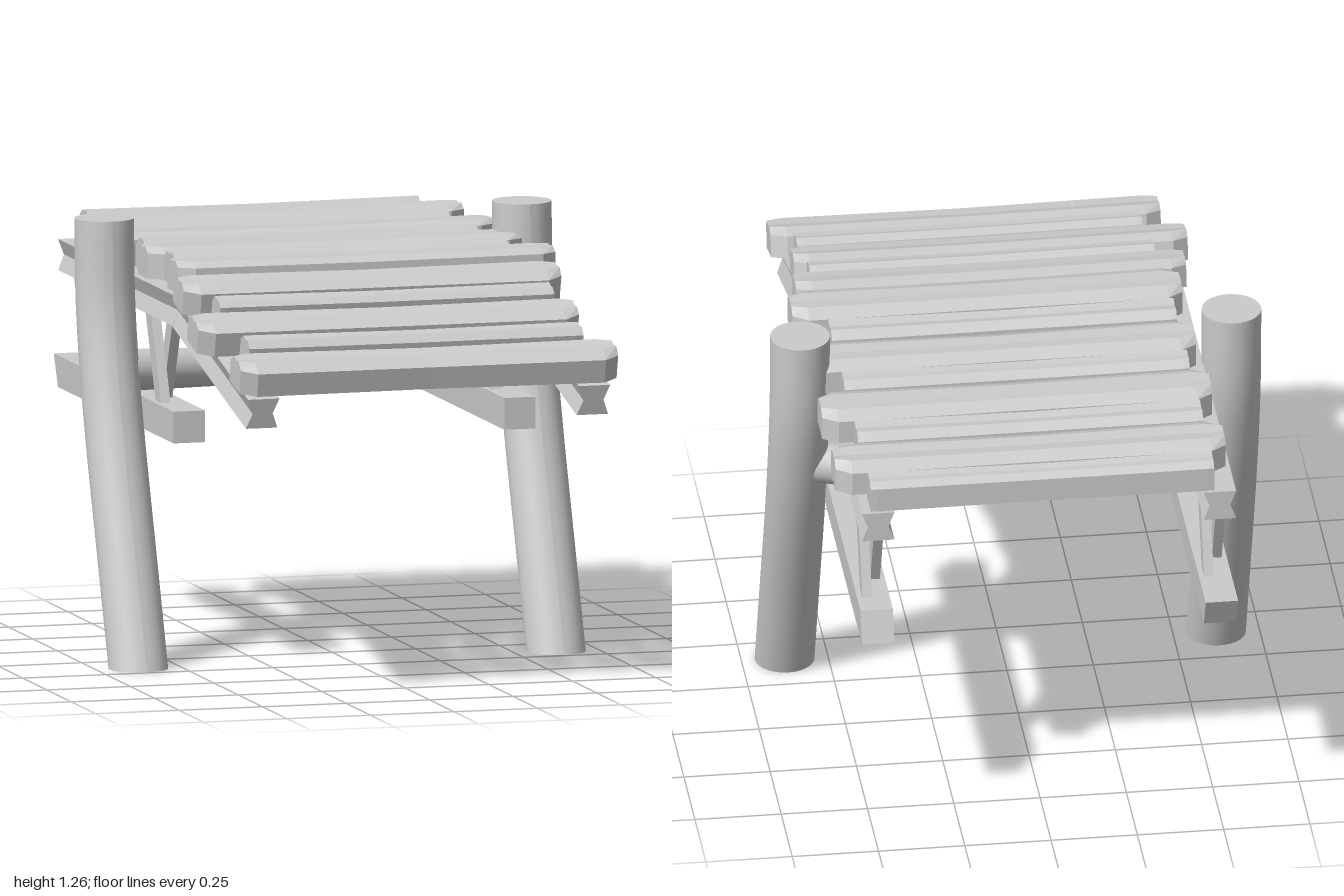
import * as THREE from 'three';

export function createModel() {
  const root = new THREE.Group();
  const smooth = new THREE.MeshStandardMaterial({ color: 0xcccccc, side: THREE.DoubleSide });
  const flat = new THREE.MeshStandardMaterial({ color: 0xcccccc, flatShading: true });
  const add = (parent, name, geometry, material = flat) => {
    const mesh = new THREE.Mesh(geometry, material);
    mesh.name = name;
    parent.add(mesh);
    return mesh;
  };
  // Apply a rule to every vertex
  const reshape = (geometry, rule) => {
    const p = geometry.attributes.position, v = new THREE.Vector3();
    for (let i = 0; i < p.count; i++) {
      rule(v.fromBufferAttribute(p, i));
      p.setXYZ(i, v.x, v.y, v.z);
    }
    geometry.computeVertexNormals();
    return geometry;
  };

  // Deck frame: a level part and a sloping front part
  const slope = 0.25, bendZ = 0.22, deckY = 1.09;
  const ramp = new THREE.Group();
  ramp.name = 'slopingDeck';
  ramp.position.set(0, deckY, bendZ);
  ramp.rotation.x = slope;
  root.add(ramp);

  // Bent posts: the section stays level while its centre follows a curve
  const bend = new THREE.CatmullRomCurve3([
    [0, 0.153], [0.3, 0.04], [0.62, -0.08], [0.82, -0.142], [1.02, -0.185], [1.26, -0.198],
  ].map(([y, z]) => new THREE.Vector3(0, y, z)));
  const centres = bend.getPoints(120);
  const centreZ = (y) => {
    let i = 1;
    while (i < 120 && centres[i].y < y) i++;
    const a = centres[i - 1], b = centres[i];
    return THREE.MathUtils.mapLinear(y, a.y, b.y, a.z, b.z);
  };
  for (const side of [-1, 1]) {
    const post = new THREE.Group();
    post.name = side > 0 ? 'leftPost' : 'rightPost';
    post.position.x = side * 0.625;
    root.add(post);
    const wall = new THREE.CylinderGeometry(0.086, 0.086, 1.26, 32, 20, true).translate(0, 0.63, 0);
    add(post, 'postTrunk', reshape(wall, (v) => { v.z += centreZ(v.y); }), smooth);
    const cap = add(post, 'postTop', new THREE.CircleGeometry(0.086, 32).rotateX(-Math.PI / 2));
    cap.position.set(0, 1.26, centreZ(1.26));

    // Short log pointing inward from the post
    const a = new THREE.Vector3(side * 0.6, 0.822, -0.15);
    const b = new THREE.Vector3(side * 0.155, 0.8, -0.29);
    const log = add(root, 'sideLog', new THREE.CylinderGeometry(0.054, 0.061, a.distanceTo(b), 24), smooth);
    log.position.copy(a).lerp(b, 0.5);
    log.quaternion.setFromUnitVectors(new THREE.Vector3(0, 1, 0), b.clone().sub(a).normalize());
  }

  // Rails with a shallow groove along both sides
  const railShape = new THREE.Shape([
    [-0.047, -0.09], [0.047, -0.09], [0.03, -0.045], [0.047, 0], [-0.047, 0], [-0.03, -0.045],
  ].map(([x, y]) => new THREE.Vector2(x, y)));
  const rail = (length) => new THREE.ExtrudeGeometry(railShape, { depth: length, bevelEnabled: false });
  for (const side of [-1, 1]) {
    const x = side * 0.495;
    add(root, 'levelRail', rail(bendZ + 0.955)).position.set(x, deckY, -0.955);
    add(ramp, 'slopingRail', rail(0.8)).position.x = x;

    // Lower beam with a slanted rear end
    const beam = new THREE.BoxGeometry(0.094, 0.092, 1);
    const topEnd = side > 0 ? -0.92 : -1;
    add(root, 'lowerBeam', reshape(beam, (v) => {
      v.z = v.z > 0 ? 0.23 : v.y > 0 ? topEnd : -0.957;
    })).position.set(x, 0.706, 0);

    // Crossed struts, side by side, between beam and rail
    for (const z of [-0.03, -0.765]) {
      for (const lean of [-1, 1]) {
        const strut = new THREE.BoxGeometry(0.028, 0.27, 0.058);
        add(root, 'crossStrut', reshape(strut, (v) => {
          v.z += lean * v.y * 0.42;
        })).position.set(x + lean * 0.018, 0.876, z);
      }
    }
  }

  // Rough-hewn slats: uneven top, chamfered ends on the wide ones
  let seed = 7;
  const random = () => (seed = (seed * 16807) % 2147483647) / 2147483647;
  const slatGeometry = (x0, x1, width, height) => {
    const wide = width > 0.13;
    const end = wide ? 0.045 : 0.02;
    const stations = [x0, x0 + end, (x0 + x1) / 2, x1 - end, x1];
    const spread = wide ? [0.62, 1, 0.92, 1, 0.62] : [0.97, 1, 0.92, 1, 0.97];
    const crown = [0.76, 0.97, 0.94, 1, 0.82].map((h) => h - random() * 0.05);
    return reshape(new THREE.BoxGeometry(1, 1, 1, 4, 1, 4), (v) => {
      const i = Math.round((v.x + 0.5) * 4), k = Math.round((v.z + 0.5) * 4);
      v.x = stations[i];
      v.y = v.y > 0 ? height * crown[k] * (i === 2 ? 0.96 : 1) : 0;
      v.z *= width * spread[i];
    });
  };
  // Each row: back z, front z, right x, left x
  const slats = [
    [-0.945, -0.86, -0.48, 0.515], [-0.84, -0.675, -0.53, 0.6],
    [-0.66, -0.55, -0.485, 0.515], [-0.535, -0.37, -0.53, 0.6],
    [-0.35, -0.26, -0.485, 0.515], [-0.245, -0.08, -0.52, 0.6],
    [-0.065, 0.05, -0.485, 0.515], [0.06, 0.23, -0.52, 0.61],
    [0.24, 0.41, -0.555, 0.575], [0.42, 0.515, -0.485, 0.515],
    [0.52, 0.695, -0.595, 0.545], [0.71, 0.815, -0.485, 0.515],
    [0.82, 0.995, -0.555, 0.575],
  ];
  for (const [z0, z1, x0, x1] of slats) {
    const middle = (z0 + z1) / 2, width = z1 - z0;
    if (middle < bendZ) {
      add(root, 'levelSlat', slatGeometry(x0, x1, width, 0.095)).position.set(0, deckY, middle);
    } else {
      const slat = add(ramp, 'slopingSlat', slatGeometry(x0, x1, width - 0.01, 0.09));
      slat.position.z = (middle - bendZ - 0.01) / Math.cos(slope);
    }
  }
  return root;
}
